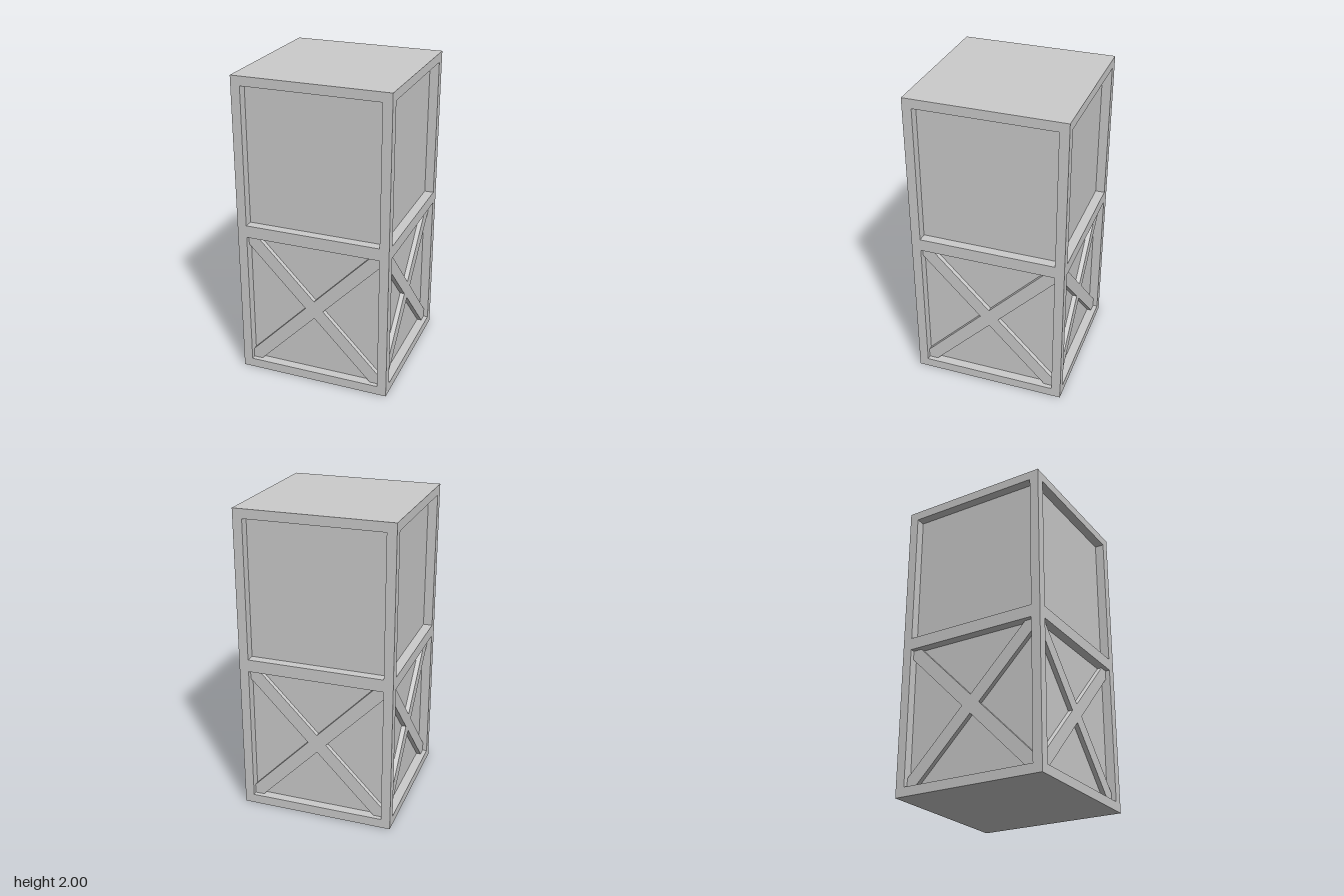
import * as THREE from 'three';

const HALF = 0.5, HEIGHT = 2, RIM = 0.06;
const INNER = HALF - RIM;
const BRACE_DEPTH = 0.03;

const material = new THREE.MeshStandardMaterial({ color: 0xcccccc, flatShading: true });

function polygon(points, Type = THREE.Shape) {
  return new Type(points.map(([x, y]) => new THREE.Vector2(x, y)));
}

function rect(x, y0, y1, Type) {
  return polygon([[-x, y0], [x, y0], [x, y1], [-x, y1]], Type);
}

function addMesh(parent, name, geometry) {
  const mesh = new THREE.Mesh(geometry, material);
  mesh.name = name;
  parent.add(mesh);
  return mesh;
}

// Frame with two openings, its back edge drawn in so neighbouring sides meet in a mitre
function frameGeometry() {
  const shape = rect(HALF, 0, HEIGHT);
  shape.holes.push(rect(INNER, 0.06, 0.96, THREE.Path), rect(INNER, 1.04, 1.94, THREE.Path));
  const geometry = new THREE.ExtrudeGeometry(shape, { depth: RIM, bevelEnabled: false });
  const p = geometry.attributes.position;
  for (let i = 0; i < p.count; i++) {
    if (p.getZ(i) > RIM / 2) continue;
    p.setX(i, THREE.MathUtils.clamp(p.getX(i), -INNER, INNER));
    p.setY(i, THREE.MathUtils.clamp(p.getY(i), RIM, HEIGHT - RIM));
  }
  geometry.computeVertexNormals();
  return geometry.translate(0, 0, INNER);
}

// X-shaped brace, trimmed to fill the corners of the lower opening
function braceGeometry() {
  const w = INNER, h = 0.45, c = 0.06;
  const shape = polygon([
    [w, h], [w - c, h], [0, c], [c - w, h], [-w, h], [-w, h - c],
    [-c, 0], [-w, c - h], [-w, -h], [c - w, -h], [0, -c], [w - c, -h],
    [w, -h], [w, c - h], [c, 0], [w, h - c],
  ]);
  return new THREE.ExtrudeGeometry(shape, { depth: BRACE_DEPTH, bevelEnabled: false })
    .translate(0, 0.51, INNER);
}

export function createModel() {
  const model = new THREE.Group();
  model.name = 'stackedCrate';

  // Recessed panels of both storeys
  addMesh(model, 'panelCore', new THREE.BoxGeometry(2 * INNER, HEIGHT - 2 * RIM, 2 * INNER))
    .position.y = HEIGHT / 2;

  // Four identical sides
  const frame = frameGeometry(), brace = braceGeometry();
  ['front', 'left', 'back', 'right'].forEach((side, i) => {
    const group = new THREE.Group();
    group.name = side + 'Side';
    group.rotation.y = i * Math.PI / 2;
    addMesh(group, side + 'Frame', frame);
    addMesh(group, side + 'CrossBrace', brace);
    model.add(group);
  });

  // Closed top and bottom
  const cap = new THREE.PlaneGeometry(2 * HALF, 2 * HALF);
  const top = addMesh(model, 'top', cap);
  top.rotation.x = -Math.PI / 2;
  top.position.y = HEIGHT;
  addMesh(model, 'bottom', cap).rotation.x = Math.PI / 2;

  return model;
}
